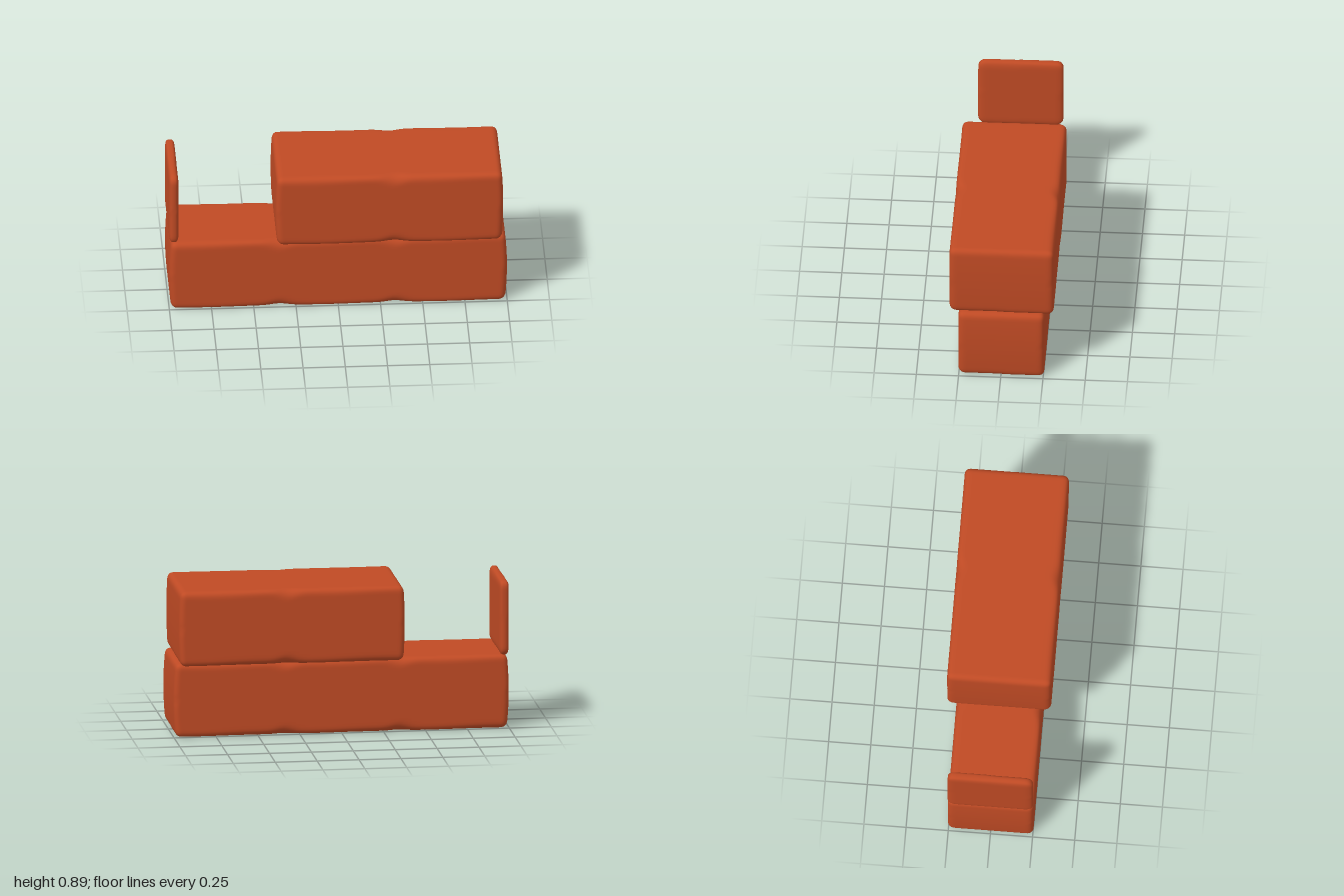
import * as THREE from 'three';
import { mergeVertices } from 'three/addons/utils/BufferGeometryUtils.js';

const brick = new THREE.MeshStandardMaterial({ color: 0xbf4a24 });
brick.name = 'brick red';

// Worn block: a box with rounded edges whose radius grows at chips along its length.
function wornBlock(name, min, max, radius, chips, segments) {
  const size = max.map((v, i) => v - min[i]);
  const half = size.map((v) => v / 2);
  const centre = min.map((v, i) => v + half[i]);
  let geo = new THREE.BoxGeometry(2, 2, 2, ...segments);
  geo.deleteAttribute('normal');
  geo.deleteAttribute('uv');
  geo = mergeVertices(geo, 1e-4);
  const pos = geo.attributes.position;
  for (let i = 0; i < pos.count; i++) {
    // crowd the samples towards the edges
    const p = [pos.getX(i), pos.getY(i), pos.getZ(i)].map(
      (t, k) => (0.65 * Math.sin((t * Math.PI) / 2) + 0.35 * t) * half[k]);
    const x = p[0] + centre[0];
    let grow = 1 + 0.12 * Math.sin(x * 9 + Math.sign(p[2]) + 2 * Math.sign(p[1]));
    for (const c of chips) grow += 0.75 * Math.exp(-(((x - c) / 0.065) ** 2));
    const r = radius.map((v, k) => Math.min(v * grow, half[k] * 0.9));
    const inner = p.map((v, k) => THREE.MathUtils.clamp(v, r[k] - half[k], half[k] - r[k]));
    const d = p.map((v, k) => (v - inner[k]) / r[k]);
    const len = Math.hypot(...d) || 1;
    const q = inner.map((v, k) => v + (d[k] / len) * r[k]);
    // ends are slightly pillowed
    q[0] *= 1 - 0.012 * (q[1] / half[1]) ** 2 * Math.min(1, size[0]);
    pos.setXYZ(i, q[0], q[1], q[2]);
  }
  geo.computeVertexNormals();
  const mesh = new THREE.Mesh(geo, brick);
  mesh.name = name;
  mesh.position.set(...centre);
  return mesh;
}

export function createModel() {
  const model = new THREE.Group();
  model.name = 'brickStack';
  model.add(
    // long lower course
    wornBlock('lowerBlock', [-1, 0, -0.255], [1, 0.443, 0.253],
      [0.035, 0.036, 0.036], [-0.35, 0.34], [100, 24, 24]),
    // wider block resting on its left part
    wornBlock('upperBlock', [-0.372, 0.437, -0.31], [0.975, 0.887, 0.307],
      [0.035, 0.038, 0.038], [0.33], [80, 24, 28]),
    // thin upright slab at the far end
    wornBlock('endSlab', [-1, 0.437, -0.255], [-0.944, 0.887, 0.25],
      [0.02, 0.045, 0.045], [], [8, 24, 24]),
  );
  return model;
}
